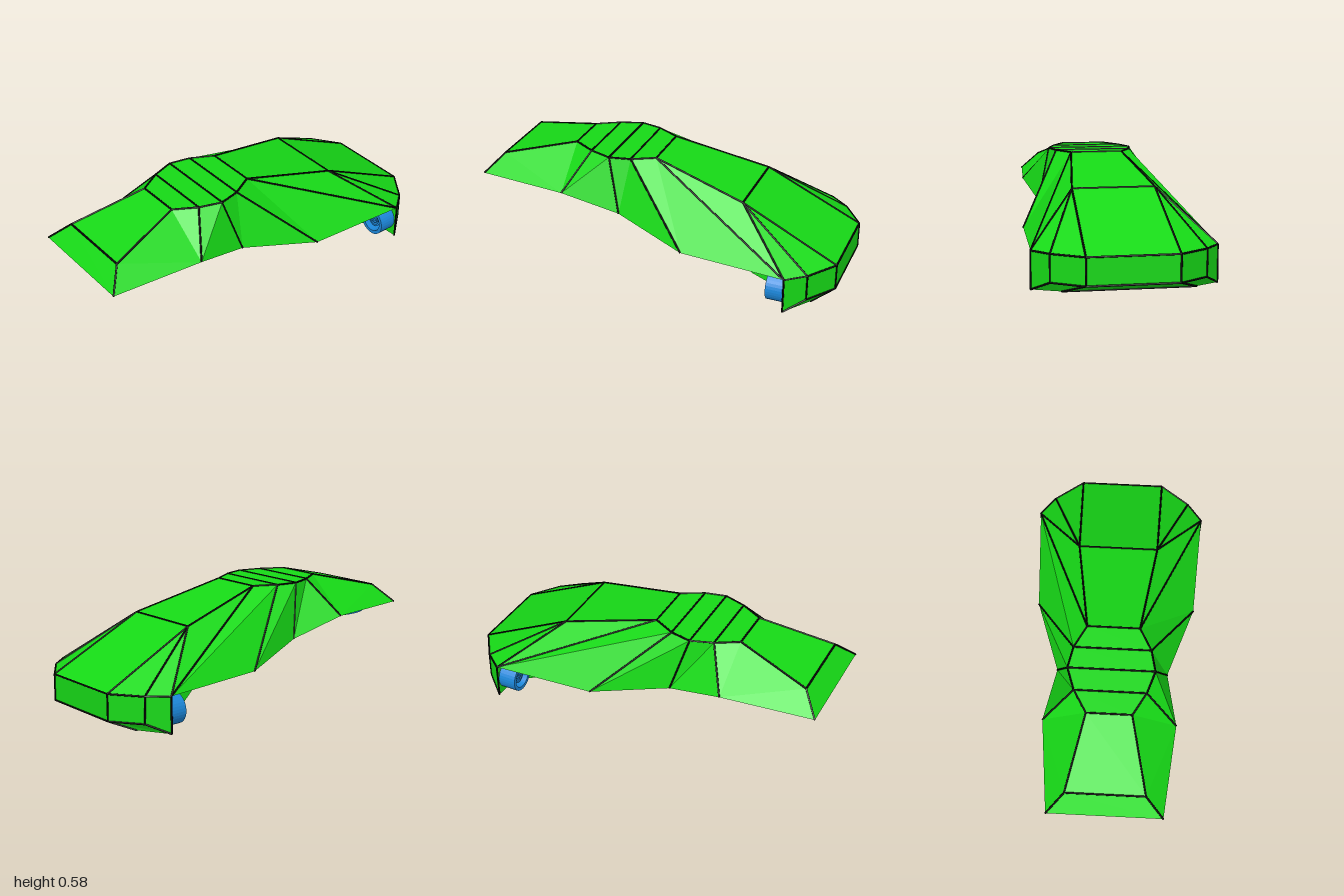
import * as THREE from 'three';

// Half-body corner points (x, y, z); the other half is mirrored in z.
const P = {
  // roof edge, tail to nose
  t0: [-0.91, 0.475, 0.21], t1: [-0.51, 0.575, 0.12], t2: [-0.39, 0.575, 0.19],
  t3: [-0.27, 0.575, 0.23], t4: [-0.155, 0.575, 0.205], t5: [-0.035, 0.575, 0.14],
  t6: [0.48, 0.45, 0.215], t7: [1.0, 0.2, 0.23],
  // lower edge, tail to nose
  b0: [-1.0, 0.375, 0.305], b1: [-0.5, 0.375, 0.355], b2: [-0.19, 0.285, 0.3],
  b3: [0.22, 0.21, 0.435], b4: [0.79, 0.2, 0.465], b5: [0.89, 0.2, 0.385],
  // bumper bottom and belly
  n4: [0.79, 0.008, 0.465], n5: [0.89, 0.06, 0.385], n7: [1.0, 0.06, 0.23],
  u5: [0.9, 0.018, 0.33], u4: [0.79, 0.004, 0.29], p4: [0.79, 0.2, 0.29],
  // recess around the middle disc
  r2: [-0.19, 0.285, 0.2], r3: [0.22, 0.285, 0.2], r4: [0.46, 0.2, 0.29],
};
const at = (name, s) => new THREE.Vector3(P[name][0], P[name][1], P[name][2] * s);

// Faces on one flank
const FLANK = [
  'b0 b1 t0', 'b1 t1 t0', 'b1 t2 t1', 'b1 b2 t3 t2', 'b2 b3 t4 t3', 'b3 b4 t5 t4',
  't5 b4 t6', 't6 b4 b5', 't6 b5 t7', 'b4 n4 n5 b5', 'b5 n5 n7 t7',
  'n5 n4 u5 n7', 'n4 u4 u5', 'b4 n4 u4 p4',
  'b2 b3 r3 r2', 'b3 b4 p4 r4', 'b3 r4 r3',
].map((f) => f.split(' '));
// Edges whose strip crosses from one flank to the other
const ACROSS = [
  'b0 t0', 't0 t1', 't1 t2', 't2 t3', 't3 t4', 't4 t5', 't5 t6', 't6 t7', 't7 n7', 'n7 u5', 'u5 u4',
  'b0 b1', 'b1 b2', 'r2 r3', 'r3 r4',
].map((f) => f.split(' '));
// Edges carrying dark trim
const TRIM = [
  't0 b0', 't0 t1', 't1 t2', 't2 t3', 't3 t4', 't4 t5', 't5 t6', 't6 t7', 't2 b1', 't3 b2', 't4 b3',
  't5 b4', 't6 b4', 't6 b5', 'b4 b5', 'b5 t7', 'b4 n4', 'b5 n5', 't7 n7', 'n4 n5', 'n5 n7', 'n7 u5',
].map((f) => f.split(' '));
const CROSS_TRIM = ['t0', 't1', 't2', 't3', 't4', 't5', 't6', 't7', 'n7', 'u5'];

const green = new THREE.MeshStandardMaterial({ color: 0x16d816, flatShading: true, side: THREE.DoubleSide });
const blue = new THREE.MeshStandardMaterial({ color: 0x1b86d8, flatShading: true });
const black = new THREE.MeshStandardMaterial({ color: 0x050505 });

function makeShell() {
  const out = [];
  const face = (pts) => {
    const c = pts.reduce((a, p) => a.add(p), new THREE.Vector3()).divideScalar(pts.length);
    const n = pts[1].clone().sub(pts[0]).cross(pts[2].clone().sub(pts[0]));
    // turn each face away from the body's core line
    const core = new THREE.Vector3(c.x * 0.8, 0.43 - 0.33 * Math.max(0, c.x), 0);
    if (n.dot(c.sub(core)) < 0) pts.reverse();
    for (let i = 1; i < pts.length - 1; i++) {
      for (const p of [pts[0], pts[i], pts[i + 1]]) out.push(p.x, p.y, p.z);
    }
  };
  for (const s of [1, -1]) for (const f of FLANK) face(f.map((k) => at(k, s)));
  for (const [a, b] of ACROSS) face([at(a, 1), at(b, 1), at(b, -1), at(a, -1)]);
  const g = new THREE.BufferGeometry();
  g.setAttribute('position', new THREE.Float32BufferAttribute(out, 3));
  g.computeVertexNormals();
  const mesh = new THREE.Mesh(g, green);
  mesh.name = 'bodyShell';
  return mesh;
}

function makeTrim() {
  const trim = new THREE.Group();
  trim.name = 'edgeTrim';
  const bar = (a, b) => {
    const d = b.clone().sub(a);
    const m = new THREE.Mesh(new THREE.CylinderGeometry(0.005, 0.005, d.length(), 6), black);
    m.position.copy(a).addScaledVector(d, 0.5);
    m.quaternion.setFromUnitVectors(new THREE.Vector3(0, 1, 0), d.normalize());
    m.name = 'trimBar';
    trim.add(m);
  };
  for (const s of [1, -1]) for (const [a, b] of TRIM) bar(at(a, s), at(b, s));
  for (const k of CROSS_TRIM) bar(at(k, 1), at(k, -1));
  return trim;
}

// Belly scoop between the front wheels
function makeScoop() {
  const shape = new THREE.Shape([[0.45, 0.2], [0.57, 0.085], [0.7, 0.035], [0.79, 0.004], [0.79, 0.2]]
    .map(([x, y]) => new THREE.Vector2(x, y)));
  const g = new THREE.ExtrudeGeometry(shape, { depth: 0.58, bevelEnabled: false });
  const m = new THREE.Mesh(g.translate(0, 0, -0.29), green);
  m.name = 'bellyScoop';
  return m;
}

// Wheel of concentric rings around the y axis, from y = 0 to y = height
function makeWheel(name, r, height, segments) {
  const wheel = new THREE.Group();
  wheel.name = name;
  const ring = (part, ro, ri, h) => {
    const y0 = height - h;
    const pts = [[ri, y0], [ro, y0], [ro, height], [ri, height], [ri, y0]]
      .map(([x, y]) => new THREE.Vector2(x * r, y));
    const m = new THREE.Mesh(new THREE.LatheGeometry(pts, segments), blue);
    m.name = part;
    wheel.add(m);
  };
  ring('tyreRing', 1, 0.75, height);
  ring('hubRing', 0.5, 0.36, height * 0.8);
  ring('axleRing', 0.24, 0.1, height * 0.8);
  return wheel;
}

export function createModel() {
  const model = new THREE.Group();
  model.name = 'hoverCar';
  model.add(makeShell(), makeTrim(), makeScoop());

  // Rear and middle wheels lie flat under the body
  const rear = makeWheel('rearFlatWheel', 0.225, 0.05, 40);
  rear.position.set(-0.745, 0.327, 0);
  const middle = makeWheel('middleFlatWheel', 0.18, 0.05, 40);
  middle.position.set(0.035, 0.237, 0);
  model.add(rear, middle);

  // Front wheels stand behind the bumper, facing back
  for (const s of [1, -1]) {
    const front = makeWheel(s > 0 ? 'frontWheelA' : 'frontWheelB', 0.08, 0.105, 32);
    front.rotation.z = -Math.PI / 2;
    front.position.set(0.69, 0.103, s * 0.375);
    model.add(front);
  }
  return model;
}
